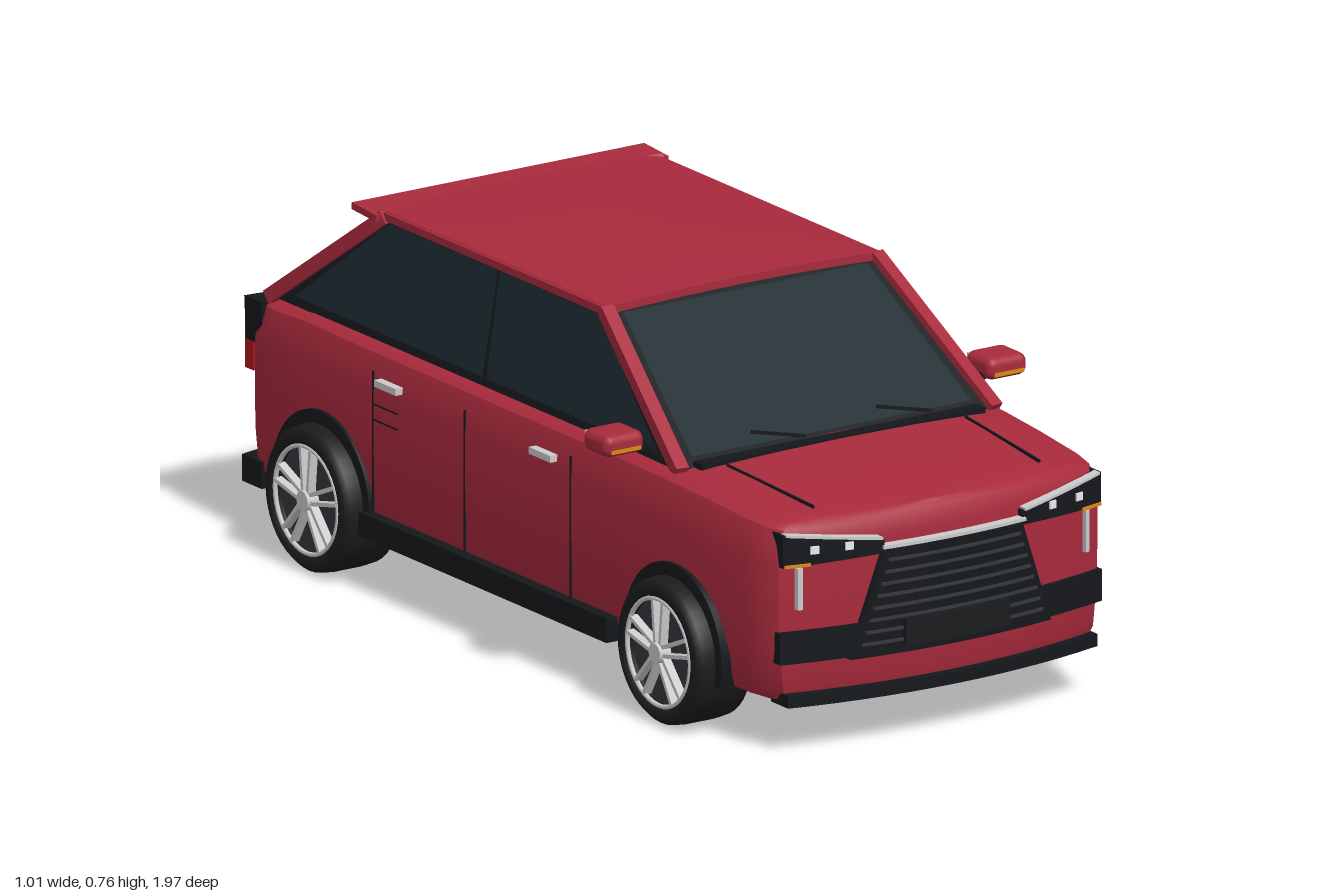
import * as THREE from 'three';
import { toCreasedNormals } from 'three/addons/utils/BufferGeometryUtils.js';
import { RoundedBoxGeometry } from 'three/addons/geometries/RoundedBoxGeometry.js';

const paint = (color) => new THREE.MeshStandardMaterial({ color });
const RED = paint(0xa82a3c), BLACK = paint(0x15181c), GLASS = paint(0x1c2a30), RUBBER = paint(0x1b1c1e);
const CHROME = paint(0xcccccc), RIM = paint(0x34373d), ORANGE = paint(0xd98a14), LAMP = paint(0xb01520), WHITE = paint(0xe8eef2);
const V = (x, y, z) => new THREE.Vector3(x, y, z);

// Bowed plan shape of the nose and tail
const noseZ = (x) => 0.97 - 0.05 * (x / 0.38) ** 2;
const tailZ = (x) => 0.955 - 0.045 * (x / 0.38) ** 2;

export function createModel() {
  const car = new THREE.Group();
  car.name = 'car';
  const add = (name, geo, mat, parent = car) => {
    const m = new THREE.Mesh(geo, mat);
    m.name = name;
    parent.add(m);
    return m;
  };
  const box = (name, w, h, d, x, y, z, mat, parent) => {
    const m = add(name, new THREE.BoxGeometry(w, h, d), mat, parent);
    m.position.set(x, y, z);
    return m;
  };
  // Bar between two points
  const bar = (name, a, b, w, d, mat) => {
    const m = add(name, new THREE.BoxGeometry(w, d, a.distanceTo(b)), mat);
    m.position.copy(a).add(b).multiplyScalar(0.5);
    m.lookAt(b);
    return m;
  };
  // Four-cornered panel [bl, br, tr, tl] that follows the bow of the nose or tail
  const panel = (name, c, out, depth, mat, rear = false) => {
    const g = new THREE.BoxGeometry(1, 1, 1, 14, 1, 1), p = g.attributes.position;
    for (let i = 0; i < p.count; i++) {
      const u = p.getX(i) + 0.5, v = p.getY(i) + 0.5, t = p.getZ(i) - 0.5;
      const mix = (k) => (c[0][k] * (1 - u) + c[1][k] * u) * (1 - v) + (c[3][k] * (1 - u) + c[2][k] * u) * v;
      const x = mix(0);
      p.setXYZ(i, x, mix(1), (rear ? tailZ(x) : noseZ(x)) + out + t * depth);
    }
    const m = add(name, toCreasedNormals(g, 0.6), mat);
    if (rear) m.rotation.y = Math.PI;
  };
  const strip = (x0, x1, y0, y1) => [[x0, y0], [x1, y0], [x1, y1], [x0, y1]];
  const flip = (c) => [1, 0, 3, 2].map((i) => [-c[i][0], c[i][1]]);
  const panelPair = (name, c, ...rest) => {
    panel(name, c, ...rest);
    panel(name, flip(c), ...rest);
  };

  // Body shell: plan outline lofted upward, closing on the centre line above and below
  const half = [];
  for (let i = 0; i <= 8; i++) half.push([0.38 * i / 8, noseZ(0.38 * i / 8)]);
  half.push([0.398, 0.895], [0.408, 0.84], [0.415, 0.7], [0.42, 0.58], [0.42, 0.4], [0.42, 0.1], [0.42, -0.2],
    [0.42, -0.5], [0.415, -0.72], [0.408, -0.83], [0.398, -0.885]);
  for (let i = 8; i >= 0; i--) half.push([0.38 * i / 8, -tailZ(0.38 * i / 8)]);
  const outline = [...half, ...half.slice(1, -1).reverse().map(([x, z]) => [-x, z])];
  const levels = [[0.11, 0, 0.99], [0.11, 0.95, 0.99], [0.14, 0.975, 1], [0.22, 0.995, 1], [0.3, 1, 1], [0.41, 1, 1], [0.455, 0.985, 0.998],
    [0.485, 0.96, 0.993], [0.496, 0.92, 0.985], [0.503, 0.75, 0.98], [0.508, 0.4, 0.978], [0.51, 0, 0.977]];
  const pos = [], idx = [], n = outline.length;
  levels.forEach(([y, sx, sz], j) => outline.forEach(([x, z], i) => {
    const drop = z > 0.5 ? 0.03 * ((z - 0.5) / 0.47) ** 1.5 : z < -0.8 ? 0.01 : 0;
    pos.push(x * sx, y - drop * (y - 0.11) / 0.4, z * sz);
    if (j === levels.length - 1) return;
    const a = j * n + i, b = j * n + (i + 1) % n;
    idx.push(a, b, b + n, a, b + n, a + n);
  }));
  const shell = new THREE.BufferGeometry();
  shell.setAttribute('position', new THREE.Float32BufferAttribute(pos, 3));
  shell.setIndex(idx);
  add('body', toCreasedNormals(shell, 0.6), RED);

  // Cabin: dark core, glass panes, pillars and roof
  const bF = V(0.375, 0.495, 0.57), tF = V(0.322, 0.735, 0.23), tR = V(0.322, 0.735, -0.53), bR = V(0.375, 0.495, -0.86);
  const mir = (v) => V(-v.x, v.y, v.z);
  const quads = (name, list, mat) => {
    const g = new THREE.BufferGeometry();
    const tri = list.flatMap(([a, b, c, d]) => [a, b, c, a, c, d]);
    g.setFromPoints(tri);
    g.computeVertexNormals();
    return add(name, g, mat);
  };
  quads('cabinFrame', [[bF, bR, tR, tF], [mir(bR), mir(bF), mir(tF), mir(tR)], [mir(bF), bF, tF, mir(tF)],
    [bR, mir(bR), mir(tR), tR], [mir(tF), tF, tR, mir(tR)]], BLACK);
  // Pane inside a quad, trimmed by fractions and lifted off the surface
  const pane = (name, [a, b, c, d], u0, u1, v0, v1) => {
    const nrm = b.clone().sub(a).cross(d.clone().sub(a)).normalize().multiplyScalar(0.004);
    const at = (u, v) => a.clone().lerp(b, u).lerp(d.clone().lerp(c, u), v).add(nrm);
    quads(name, [[at(u0, v0), at(u1, v0), at(u1, v1), at(u0, v1)]], GLASS);
  };
  pane('windshield', [mir(bF), bF, tF, mir(tF)], 0.05, 0.95, 0.07, 0.96);
  pane('rearWindow', [bR, mir(bR), mir(tR), tR], 0.05, 0.95, 0.08, 0.96);
  const right = [mir(bR), mir(bF), mir(tF), mir(tR)], left = [bF, bR, tR, tF];
  pane('frontSideWindow', left, 0.04, 0.475, 0.08, 0.95);
  pane('rearSideWindow', left, 0.485, 0.96, 0.08, 0.95);
  pane('frontSideWindow', right, 0.525, 0.96, 0.08, 0.95);
  pane('rearSideWindow', right, 0.04, 0.515, 0.08, 0.95);
  for (const f of [(v) => v, mir]) {
    bar('frontPillar', f(bF), f(tF), 0.028, 0.028, RED);
    bar('rearPillar', f(bR), f(tR), 0.032, 0.028, RED);
    bar('roofRail', f(tF), f(tR), 0.02, 0.016, RED);
  }
  const roof = new THREE.BoxGeometry(0.65, 0.016, 0.79, 12, 1, 12), rp = roof.attributes.position;
  for (let i = 0; i < rp.count; i++) {
    const x = rp.getX(i) / 0.325, z = rp.getZ(i) / 0.395;
    rp.setY(i, rp.getY(i) + 0.736 + 0.013 * (1 - x * x) * (1 - 0.4 * z ** 4));
  }
  add('roof', toCreasedNormals(roof, 0.6), RED).position.z = -0.155;
  box('roofSpoiler', 0.7, 0.014, 0.085, 0, 0.736, -0.575, RED).rotation.x = 0.06;
  box('cowl', 0.68, 0.012, 0.03, 0, 0.504, 0.575, BLACK);
  for (const x of [-0.18, 0.12]) bar('wiper', V(x, 0.535, 0.53), V(x + 0.11, 0.515, 0.56), 0.006, 0.006, BLACK);
  bar('rearWiper', V(-0.1, 0.53, -0.835), V(0.1, 0.53, -0.835), 0.006, 0.006, BLACK);

  // Nose
  panel('grille', [[-0.24, 0.185], [0.24, 0.185], [0.165, 0.4], [-0.165, 0.4]], 0.015, 0.03, BLACK);
  for (let i = 0; i < 8; i++) {
    const y = 0.21 + i * 0.024, w = 0.225 - (y - 0.185) * 0.35;
    panel('grilleSlat', strip(-w, w, y, y + 0.006), 0.019, 0.01, RIM);
  }
  panel('grilleTrim', strip(-0.17, 0.17, 0.405, 0.412), 0.02, 0.03, CHROME);
  panel('frontPlate', strip(-0.125, 0.125, 0.2, 0.255), 0.026, 0.02, RUBBER);
  panelPair('headlight', [[0.165, 0.396], [0.38, 0.39], [0.38, 0.458], [0.165, 0.425]], 0.014, 0.04, BLACK);
  panelPair('headlightTrim', [[0.17, 0.424], [0.375, 0.454], [0.375, 0.459], [0.17, 0.43]], 0.017, 0.02, CHROME);
  for (const x of [0.235, 0.308]) panelPair('headlightLens', strip(x, x + 0.017, 0.414, 0.43), 0.018, 0.02, WHITE);
  panelPair('frontIndicator', strip(0.325, 0.378, 0.39, 0.396), 0.018, 0.02, ORANGE);
  panelPair('runningLight', strip(0.338, 0.349, 0.3, 0.386), 0.012, 0.03, CHROME);
  panelPair('sideIntake', [[0.235, 0.19], [0.385, 0.19], [0.385, 0.255], [0.215, 0.255]], 0.012, 0.04, BLACK);
  panel('frontLip', strip(-0.37, 0.37, 0.1, 0.125), 0.014, 0.06, BLACK);

  // Tail
  panelPair('tailLightHousing', [[0.2, 0.41], [0.395, 0.395], [0.4, 0.485], [0.19, 0.46]], 0.014, 0.06, BLACK, true);
  panelPair('tailLight', [[0.21, 0.44], [0.39, 0.45], [0.395, 0.472], [0.21, 0.452]], 0.018, 0.03, LAMP, true);
  panelPair('tailLightDrop', strip(0.377, 0.395, 0.335, 0.45), 0.017, 0.03, LAMP, true);
  panelPair('rearIndicator', strip(0.22, 0.37, 0.412, 0.42), 0.018, 0.03, ORANGE, true);
  panelPair('rearReflector', strip(0.28, 0.35, 0.19, 0.2), 0.004, 0.02, LAMP, true);
  panel('rearPlate', strip(-0.125, 0.125, 0.21, 0.265), 0.024, 0.03, RUBBER, true);
  panel('rearBumper', strip(-0.4, 0.4, 0.1, 0.155), 0.022, 0.07, BLACK, true);

  // Wheel parts
  const tyre = new THREE.LatheGeometry([[0.1, -0.07], [0.135, -0.07], [0.147, -0.058], [0.15, -0.03], [0.15, 0.03], [0.147, 0.058],
    [0.135, 0.07], [0.112, 0.066], [0.108, 0.04]].map(([r, h]) => new THREE.Vector2(r, h)), 40);
  const arch = new THREE.Shape();
  arch.absarc(0, 0, 0.17, -0.28, Math.PI + 0.28);
  const archGeo = new THREE.ExtrudeGeometry(arch, { depth: 0.06, bevelEnabled: false, curveSegments: 32 });

  for (const s of [1, -1]) {
    for (const z of [0.615, -0.615]) {
      const wheel = new THREE.Group();
      wheel.name = 'wheel';
      wheel.position.set(s * 0.395, 0.15, z);
      wheel.rotation.z = -s * Math.PI / 2;
      car.add(wheel);
      add('tyre', tyre, new THREE.MeshStandardMaterial({ color: 0x1b1c1e, side: THREE.DoubleSide }), wheel);
      add('rimDisc', new THREE.CylinderGeometry(0.112, 0.112, 0.1, 32), RIM, wheel);
      const lip = add('rimLip', new THREE.TorusGeometry(0.11, 0.005, 8, 40), CHROME, wheel);
      lip.rotation.x = Math.PI / 2;
      lip.position.y = 0.064;
      add('hub', new THREE.CylinderGeometry(0.02, 0.024, 0.03, 20), CHROME, wheel).position.y = 0.06;
      for (let i = 0; i < 5; i++) {
        const spoke = new THREE.Group();
        spoke.name = 'spoke';
        spoke.rotation.y = i * Math.PI * 0.4;
        wheel.add(spoke);
        for (const k of [1, -1]) box('spokeArm', 0.09, 0.018, 0.008, 0.062, 0.06, k * 0.013, CHROME, spoke).rotation.y = -k * 0.1;
      }
      const a = add('wheelArch', archGeo, BLACK);
      a.rotation.y = Math.PI / 2;
      a.position.set(s > 0 ? 0.366 : -0.426, 0.157, z);
    }
    // Side trim
    box('sill', 0.05, 0.05, 0.87, s * 0.412, 0.135, -0.035, BLACK);
    for (const z of [0.16, -0.38]) box('doorHandle', 0.018, 0.014, 0.075, s * 0.424, 0.437, z, CHROME);
    for (const z of [0.25, -0.12, -0.44]) box('doorSeam', 0.004, 0.29, 0.003, s * 0.4195, 0.31, z, BLACK);
    bar('hoodSeam', V(s * 0.285, 0.502, 0.6), V(s * 0.27, 0.485, 0.88), 0.004, 0.006, BLACK);
    // Door mirror
    add('mirror', new RoundedBoxGeometry(0.095, 0.046, 0.09, 4, 0.018), RED).position.set(s * 0.458, 0.548, 0.455);
    box('mirrorIndicator', 0.07, 0.008, 0.004, s * 0.458, 0.538, 0.4995, ORANGE);
    box('mirrorGlass', 0.075, 0.03, 0.004, s * 0.458, 0.548, 0.41, CHROME);
    bar('mirrorArm', V(s * 0.365, 0.52, 0.46), V(s * 0.43, 0.535, 0.46), 0.03, 0.014, BLACK);
  }
  // Fuel flap outline
  for (const y of [0.355, 0.387]) box('fuelFlapEdge', 0.003, 0.003, 0.085, -0.42, y, -0.395, BLACK);
  return car;
}
